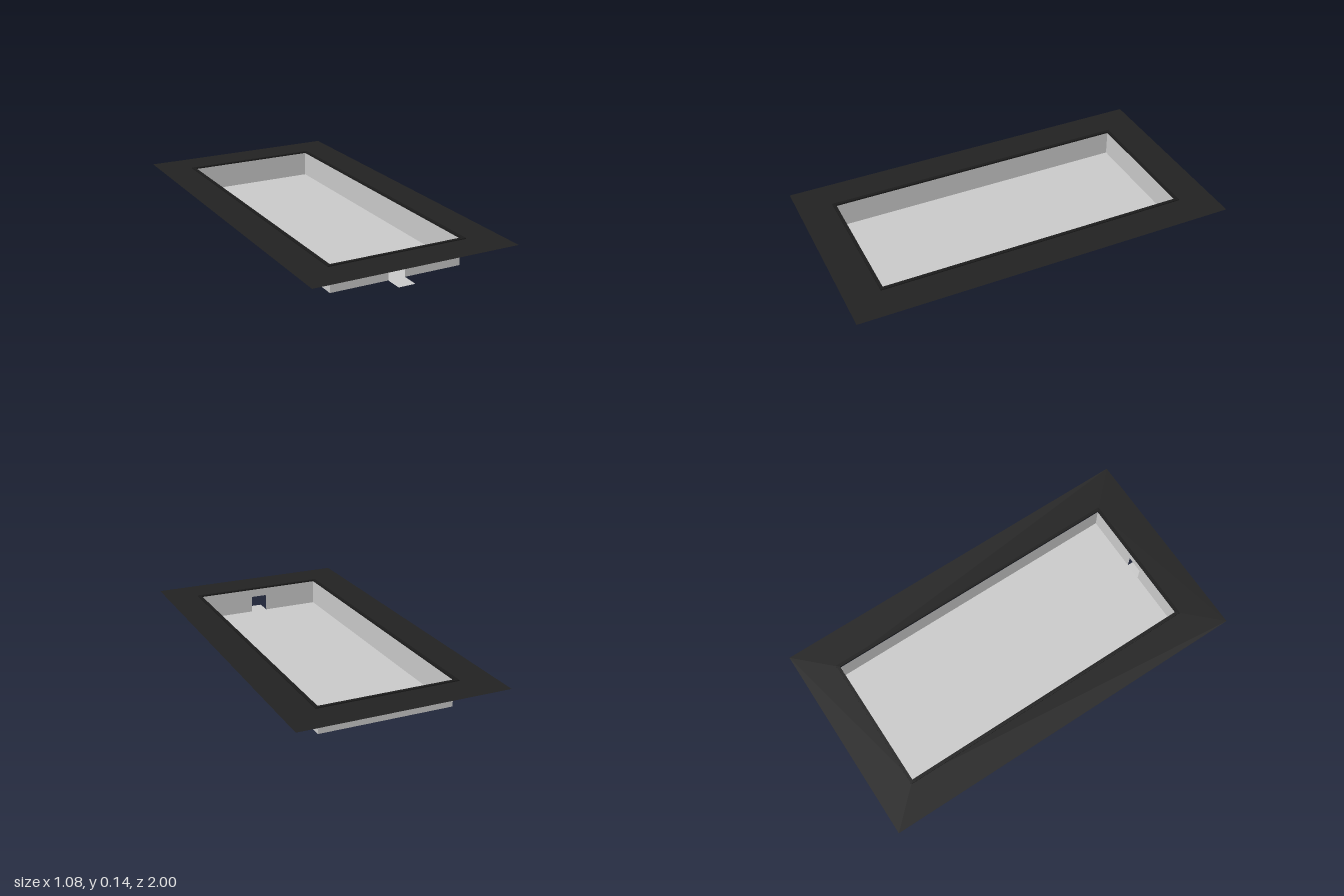
import * as THREE from 'three';

const W = 0.35, D = 0.806, H = 0.134;   // tray half width, half depth, height
const TAB_W = 0.045, TAB_L = 0.09;      // tab half width and length

const material = (name, color, side = THREE.DoubleSide) => {
  const m = new THREE.MeshStandardMaterial({ color, side });
  m.name = name;
  return m;
};

const rect = (Type, x, y) => new Type([
  new THREE.Vector2(-x, -y), new THREE.Vector2(x, -y),
  new THREE.Vector2(x, y), new THREE.Vector2(-x, y),
]);

// Rectangular frame shape with a rectangular opening
function frameShape(outX, outY, inX, inY) {
  const s = rect(THREE.Shape, outX, outY);
  s.holes.push(rect(THREE.Path, inX, inY));
  return s;
}

// Upright tab outline with slightly rounded top corners, left to right
function traceTab(path, r = 0.007) {
  path.lineTo(-TAB_W, TAB_L - r);
  path.quadraticCurveTo(-TAB_W, TAB_L, -TAB_W + r, TAB_L);
  path.lineTo(TAB_W - r, TAB_L);
  path.quadraticCurveTo(TAB_W, TAB_L, TAB_W, TAB_L - r);
  path.lineTo(TAB_W, 0);
}

export function createModel() {
  const model = new THREE.Group();
  const grey = material('light grey sheet', 0xcacaca);
  const black = material('black flange', 0x222222);
  const dark = material('dark rim', 0x1c1c1c);

  const add = (name, geometry, mat, parent = model) => {
    const mesh = new THREE.Mesh(geometry, mat);
    mesh.name = name;
    parent.add(mesh);
    return mesh;
  };

  // Thin sheet tray: floor, two sides and back
  const tray = new THREE.Group();
  tray.name = 'tray';
  model.add(tray);
  add('floor', new THREE.PlaneGeometry(2 * W, 2 * D).rotateX(-Math.PI / 2), grey, tray);
  for (const s of [-1, 1]) {
    const wall = new THREE.PlaneGeometry(2 * D, H).rotateY(s * Math.PI / 2);
    add(s > 0 ? 'leftWall' : 'rightWall', wall.translate(s * W, H / 2, 0), grey, tray);
  }
  add('backWall', new THREE.PlaneGeometry(2 * W, H).rotateY(Math.PI).translate(0, H / 2, -D), grey, tray);

  // Front wall with the notch left by the folded tab
  const front = new THREE.Shape();
  front.moveTo(-W, 0);
  front.lineTo(-TAB_W, 0);
  traceTab(front);
  front.lineTo(W, 0);
  front.lineTo(W, H);
  front.lineTo(-W, H);
  front.closePath();
  add('frontWall', new THREE.ShapeGeometry(front, 4).translate(0, 0, D), grey, tray);

  // Tab folded outwards, level with the floor
  const tab = new THREE.Shape();
  tab.moveTo(-TAB_W, 0);
  traceTab(tab);
  tab.closePath();
  const tabGeometry = new THREE.ShapeGeometry(tab, 4).rotateZ(Math.PI).rotateX(-Math.PI / 2);
  add('foldedTab', tabGeometry.translate(0, 0, D), grey, tray);

  // Wide flat flange around the opening
  const flange = new THREE.ShapeGeometry(frameShape(0.54, 1, 0.353, 0.808));
  add('flange', flange.rotateX(-Math.PI / 2).translate(0, 0.136, 0), black);

  // Slim rim bordering the opening
  const rim = new THREE.ExtrudeGeometry(frameShape(0.369, 0.823, 0.352, 0.807),
    { depth: 0.009, bevelEnabled: false });
  add('rim', rim.rotateX(-Math.PI / 2).translate(0, 0.132, 0), dark);

  return model;
}
